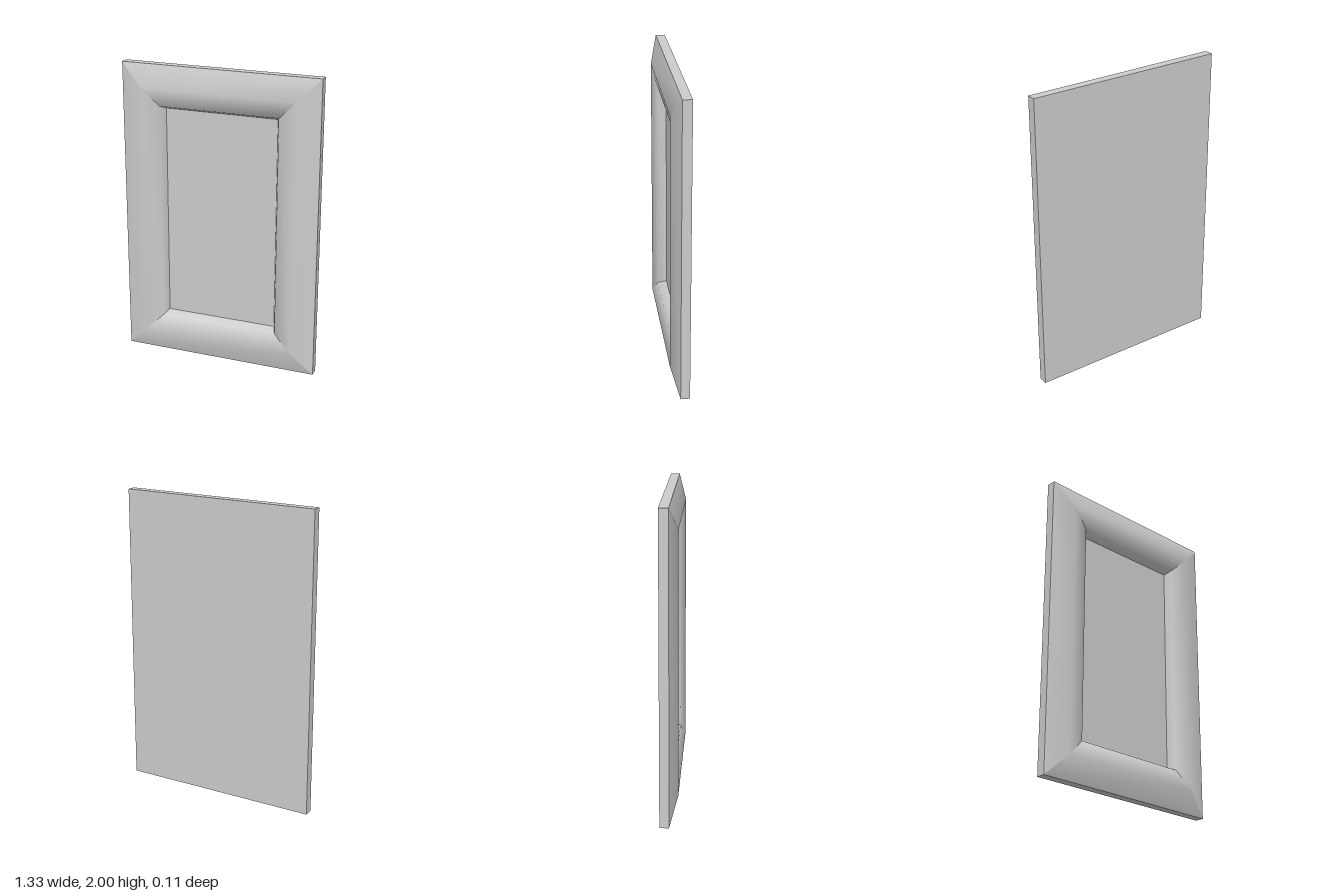
import * as THREE from 'three';
import { toCreasedNormals } from 'three/addons/utils/BufferGeometryUtils.js';

const W = 1.33, H = 2, BACK = -0.055, PANEL = -0.03;

// Moulding cross-section: [inset from the outer edge, z], outer wall to panel
const PROFILE = [[0, BACK], [0, 0.005], [0.15, 0.055], [0.265, 0.027], [0.288, PANEL]];
const INSET = PROFILE[PROFILE.length - 1][0];

// One mitred rail, lying along x with its outer edge at y = -reach
function railGeometry(length, reach) {
  const positions = [], index = [];
  for (const [inset, z] of PROFILE) {
    const half = length / 2 - inset, y = inset - reach;
    positions.push(-half, y, z, half, y, z);
  }
  for (let i = 0; i < PROFILE.length - 1; i++) {
    const a = i * 2;
    index.push(a, a + 1, a + 3, a, a + 3, a + 2);
  }
  const geometry = new THREE.BufferGeometry();
  geometry.setAttribute('position', new THREE.Float32BufferAttribute(positions, 3));
  geometry.setIndex(index);
  return toCreasedNormals(geometry, THREE.MathUtils.degToRad(62));
}

export function createModel() {
  const group = new THREE.Group();
  const material = new THREE.MeshStandardMaterial({ color: 0xcccccc });

  const add = (name, geometry) => {
    const mesh = new THREE.Mesh(geometry, material);
    mesh.name = name;
    mesh.position.y = H / 2;
    group.add(mesh);
    return mesh;
  };

  // Four frame members, turned a quarter each around the centre
  ['bottomRail', 'leftStile', 'topRail', 'rightStile'].forEach((name, i) => {
    const [length, reach] = i % 2 ? [H, W / 2] : [W, H / 2];
    add(name, railGeometry(length, reach)).rotation.z = i * Math.PI / 2;
  });

  // Recessed panel inside the frame
  add('centrePanel', new THREE.PlaneGeometry(W - 2 * INSET, H - 2 * INSET)).position.z = PANEL;

  // Flat back
  const back = add('backPanel', new THREE.PlaneGeometry(W, H));
  back.rotation.y = Math.PI;
  back.position.z = BACK;

  return group;
}
